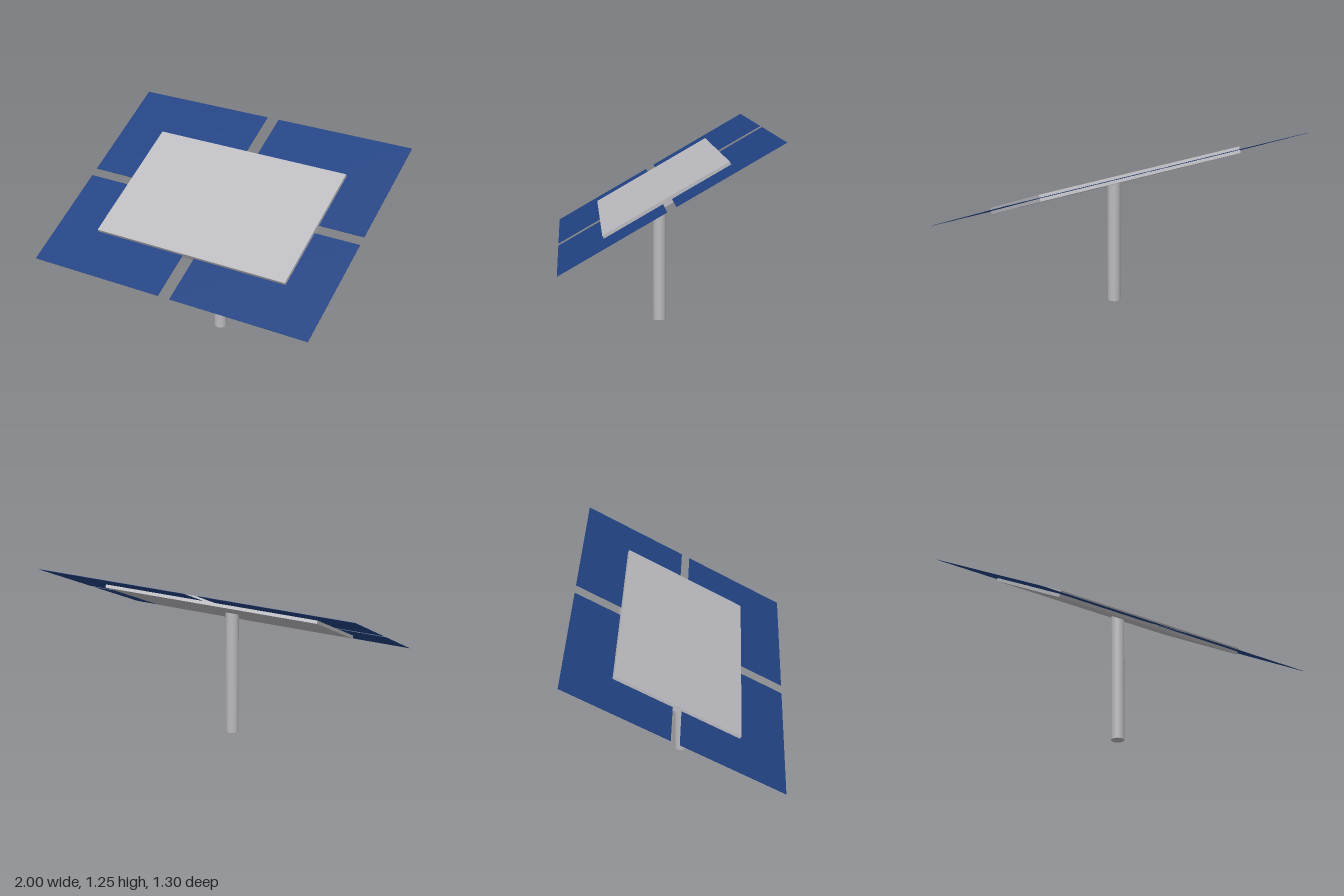
import * as THREE from 'three';

export function createModel() {
  const metal = new THREE.MeshStandardMaterial({ color: 0xbababf });
  metal.name = 'grey metal';
  const solar = new THREE.MeshStandardMaterial({ color: 0x214282 });
  solar.name = 'solar blue';

  const PIVOT_Y = 0.872;
  const model = new THREE.Group();
  model.name = 'solarPanelStand';

  const add = (parent, name, geometry, material, x, y, z) => {
    const mesh = new THREE.Mesh(geometry, material);
    mesh.name = name;
    mesh.position.set(x, y, z);
    parent.add(mesh);
  };

  // Upright pole, ending inside the tilted board
  add(model, 'pole', new THREE.CylinderGeometry(0.042, 0.042, PIVOT_Y - 0.002, 24), metal, 0, (PIVOT_Y - 0.002) / 2, 0);

  // Head tilted 30 degrees, low edge to the front
  const head = new THREE.Group();
  head.name = 'tiltedHead';
  head.position.y = PIVOT_Y;
  head.rotation.x = Math.PI / 6;
  model.add(head);

  add(head, 'backingBoard', new THREE.BoxGeometry(1.386, 0.042, 0.864), metal, 0, 0, 0);

  // Four thin panels with a cross-shaped gap between them
  const xIn = 0.042, xOut = 1, zIn = 0.03, zOut = 0.749;
  const panel = new THREE.BoxGeometry(xOut - xIn, 0.002, zOut - zIn);
  for (const sx of [1, -1]) {
    for (const sz of [1, -1]) {
      const name = (sz > 0 ? 'front' : 'back') + (sx > 0 ? 'Left' : 'Right') + 'Panel';
      add(head, name, panel, solar, sx * (xIn + xOut) / 2, 0, sz * (zIn + zOut) / 2);
    }
  }
  return model;
}
